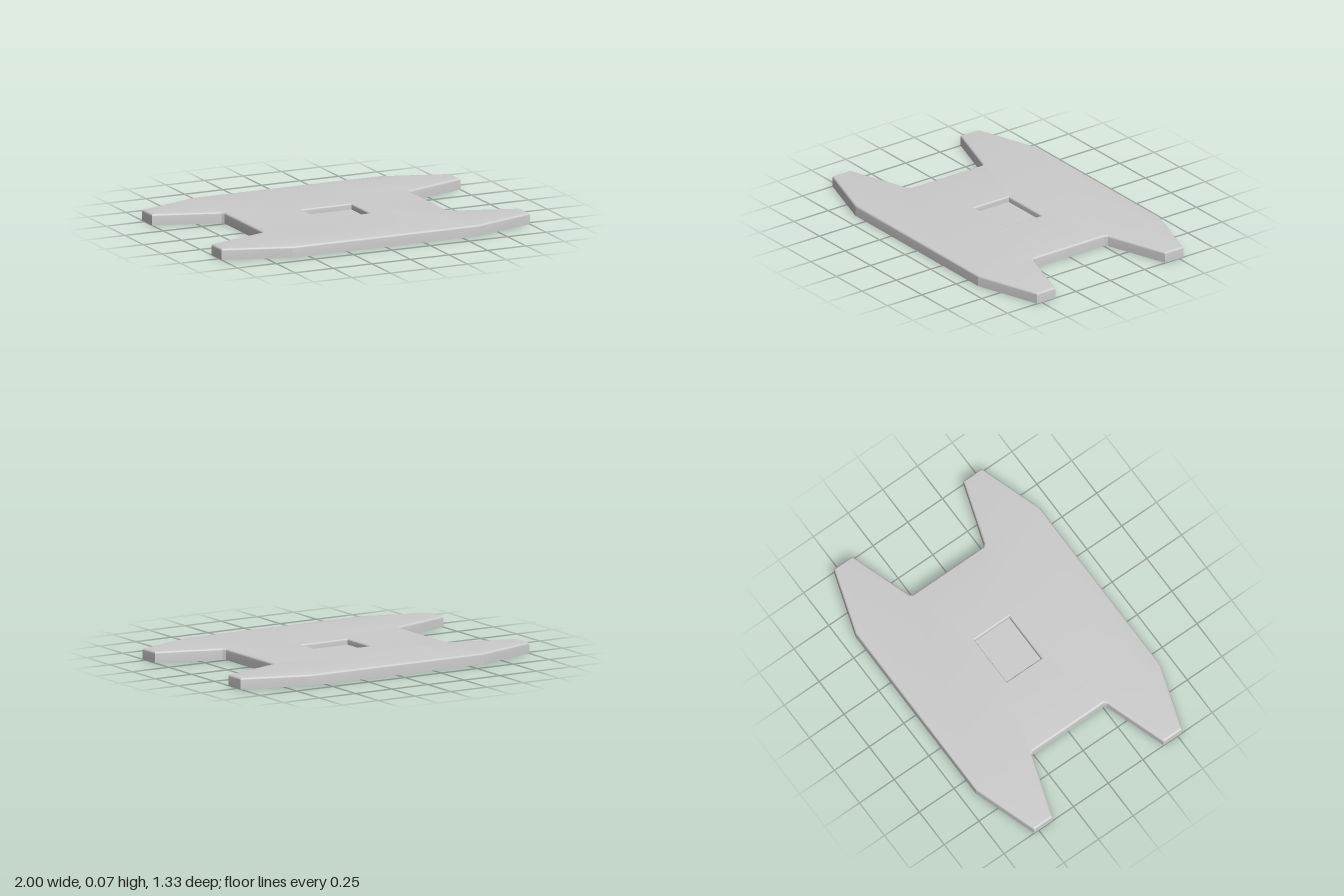
import * as THREE from 'three';
import { mergeGeometries, toCreasedNormals } from 'three/addons/utils/BufferGeometryUtils.js';

const HEIGHT = 0.067, EDGE = 0.013, LIP = 0.01, POCKET_DEPTH = 0.035, STEPS = 6;

// Moves a counter-clockwise outline inwards by d with mitred corners
function inset(pts, d) {
  const n = pts.length;
  const normal = (a, b) => new THREE.Vector2(a.y - b.y, b.x - a.x).normalize();
  return pts.map((p, i) => {
    const n1 = normal(pts[(i + n - 1) % n], p), n2 = normal(p, pts[(i + 1) % n]);
    return p.clone().addScaledVector(n1.clone().add(n2), d / (1 + n1.dot(n2)));
  });
}

// Skins a row of [inset, height] steps around an outline
function loft(outline, profile) {
  const rings = profile.map(([d, y]) => inset(outline, d).map(p => [p.x, y, -p.y]));
  const pos = [], n = outline.length;
  for (let r = 0; r < rings.length - 1; r++) {
    for (let i = 0; i < n; i++) {
      const j = (i + 1) % n, a = rings[r], b = rings[r + 1];
      pos.push(...a[i], ...a[j], ...b[j], ...a[i], ...b[j], ...b[i]);
    }
  }
  const g = new THREE.BufferGeometry();
  g.setAttribute('position', new THREE.Float32BufferAttribute(pos, 3));
  return g;
}

// Flat upward face at height y, with an optional hole
function cap(outline, y, hole) {
  const shape = new THREE.Shape(outline);
  if (hole) shape.holes.push(new THREE.Path(hole));
  const g = new THREE.ShapeGeometry(shape).toNonIndexed();
  g.deleteAttribute('uv');
  g.deleteAttribute('normal');
  return g.rotateX(-Math.PI / 2).translate(0, y, 0);
}

export function createModel() {
  const group = new THREE.Group();
  const material = new THREE.MeshStandardMaterial({ color: 0xcccccc, side: THREE.DoubleSide });
  const add = (name, parts) => {
    const mesh = new THREE.Mesh(toCreasedNormals(mergeGeometries(parts), 0.3), material);
    mesh.name = name;
    group.add(mesh);
  };

  // Plate outline with four tapered arms, mirrored from one quarter
  const quarter = [[0.6, 0.255], [0.613, 0.271], [1, 0.4], [1, 0.533], [0.6, 0.665]];
  const right = [...quarter.map(([x, y]) => [x, -y]).reverse(), ...quarter];
  const outline = [...right, ...right.map(([x, y]) => [-x, y]).reverse()]
    .map(([x, y]) => new THREE.Vector2(x, y));
  const opening = [[-1, -1], [1, -1], [1, 1], [-1, 1]]
    .map(([x, y]) => new THREE.Vector2(x * 0.17, y * 0.135));

  // Hollow plate, open underneath, with a rounded top edge
  const edge = [[0, 0]], lip = [];
  for (let i = 0; i <= STEPS; i++) {
    const a = (i / STEPS) * Math.PI / 2, s = Math.sin(a), c = Math.cos(a);
    edge.push([EDGE * (1 - c), HEIGHT - EDGE * (1 - s)]);
    lip.push([LIP * s, HEIGHT - LIP * (1 - c)]);
  }
  add('plateShell', [loft(outline, edge), cap(inset(outline, EDGE), HEIGHT, opening)]);

  // Shallow rectangular pocket with a rounded lip
  const floorY = HEIGHT - POCKET_DEPTH;
  lip.push([LIP, floorY]);
  add('centrePocket', [loft(opening, lip), cap(inset(opening, LIP), floorY)]);

  return group;
}
